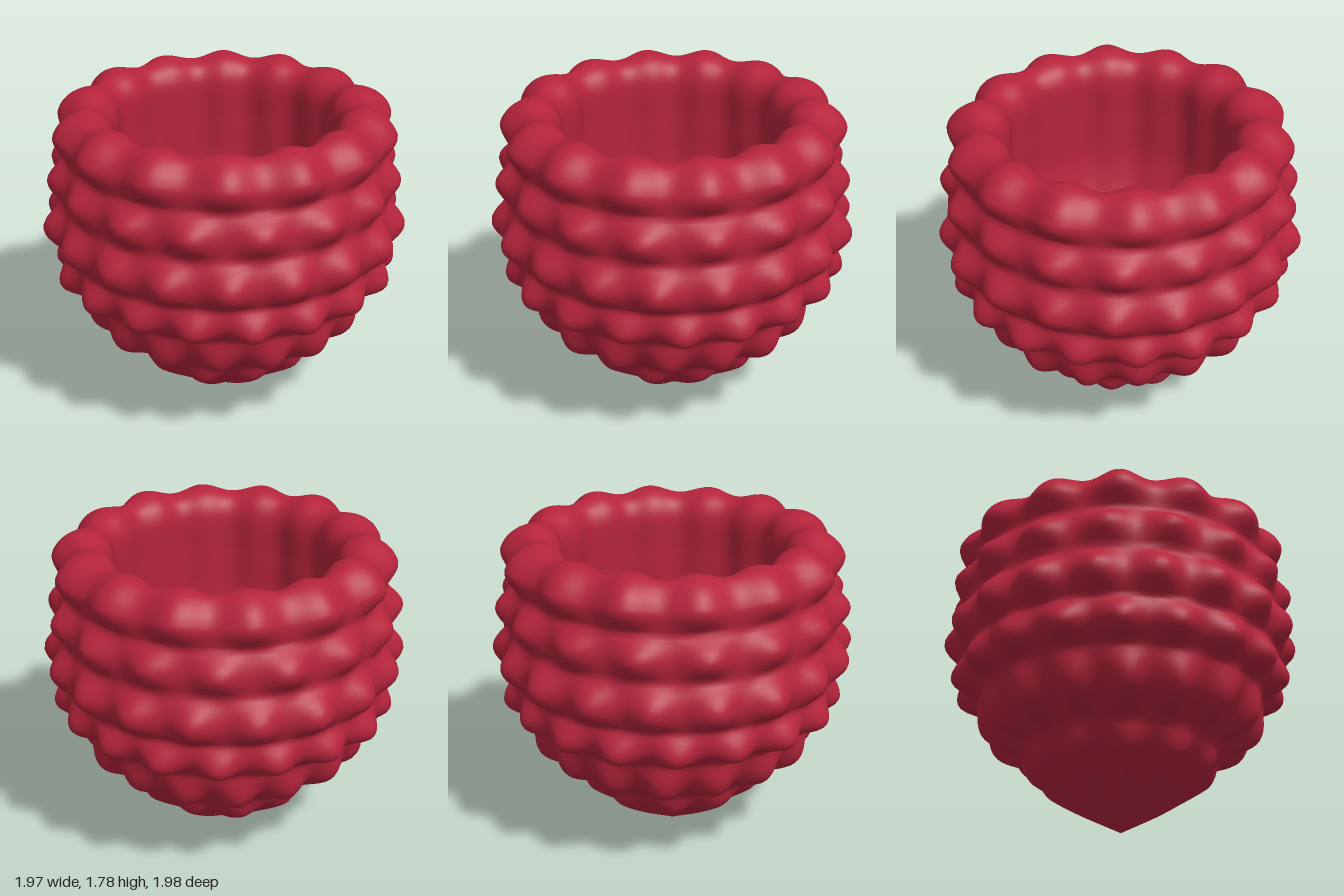
import * as THREE from 'three';

// Rows of drupelets: lower edge, upper edge, count around, angular phase
const ROWS = [
  [0.2, 0.38, 11, -0.1],
  [0.38, 0.69, 16, -0.13],
  [0.69, 0.95, 18, -0.17],
  [0.95, 1.26, 18, 0.04],
  [1.26, 1.51, 16, 0.13],
  [1.51, 1.80, 14, 0.27],
];

// Cross-section from the tip, up the outside, over the rim and down the hollow:
// radius, height, depth of the grooves
const PROFILE = [
  [0, 0, 0], [0.33, 0.19, 0.03], [0.52, 0.32, 0.06], [0.77, 0.55, 0.09],
  [0.94, 0.82, 0.1], [0.995, 1.07, 0.1], [0.97, 1.38, 0.1],
  [0.935, 1.64, 0.1], [0.87, 1.73, 0.085], [0.76, 1.775, 0.05],
  [0.66, 1.745, 0.045], [0.605, 1.66, 0.04], [0.605, 1.4, 0.035],
  [0.6, 1.1, 0.025], [0.49, 0.8, 0.01], [0.27, 0.6, 0], [0, 0.53, 0],
].map(p => new THREE.Vector3(...p));

// Bump height, 0 in the grooves and 1 on top of a drupelet
function bump(angle, y, inside) {
  const top = ROWS.length - 1;
  const k = inside ? top : ROWS.findIndex(r => y < r[1]);
  const [low, high, count, phase] = ROWS[k];
  const middle = (low + high) / 2;
  let v = (y - middle) / ((high - low) / 2);
  // The lowest row runs out to the tip, the highest one over the rim
  if (k === 0) v = Math.max(0, v);
  if (k === top && (inside || v > 0)) v = 0;
  const lobe = 0.5 + 0.5 * Math.cos(count * (angle - phase));
  const size = 0.97 + 0.06 * Math.sin(5 * angle + k * 1.7);
  return Math.pow(Math.cos(v * Math.PI / 2), 1.25) * (0.3 + 0.7 * lobe) * size;
}

function berryGeometry(around, along) {
  const curve = new THREE.CatmullRomCurve3(PROFILE, false, 'centripetal');
  const rimT = 9 / (PROFILE.length - 1);
  const positions = [], index = [];
  for (let j = 0; j <= along; j++) {
    const t = j / along;
    const p = curve.getPoint(t), d = curve.getTangent(t);
    const len = Math.hypot(d.x, d.y) || 1;
    for (let i = 0; i < around; i++) {
      const a = (i / around) * Math.PI * 2;
      // Sink the grooves along the surface normal
      const sink = p.z * (1 - bump(a, p.y, t > rimT));
      const r = Math.max(0, p.x - (sink * d.y) / len);
      const y = Math.max(0, p.y + (sink * d.x) / len);
      positions.push(r * Math.sin(a), y, r * Math.cos(a));
      if (j < along) {
        const n = (i + 1) % around;
        const a0 = j * around + i, b0 = j * around + n;
        const a1 = a0 + around, b1 = b0 + around;
        if (j > 0) index.push(a0, b0, b1);
        if (j < along - 1) index.push(a0, b1, a1);
      }
    }
  }
  const geometry = new THREE.BufferGeometry();
  geometry.setAttribute('position', new THREE.Float32BufferAttribute(positions, 3));
  geometry.setIndex(index);
  geometry.computeVertexNormals();
  return geometry;
}

export function createModel() {
  const group = new THREE.Group();
  group.name = 'berry';
  const red = new THREE.MeshStandardMaterial({ color: 0xb5243b });
  red.name = 'raspberry red';
  // Hollow berry body
  const body = new THREE.Mesh(berryGeometry(216, 176), red);
  body.name = 'berryBody';
  group.add(body);
  return group;
}
